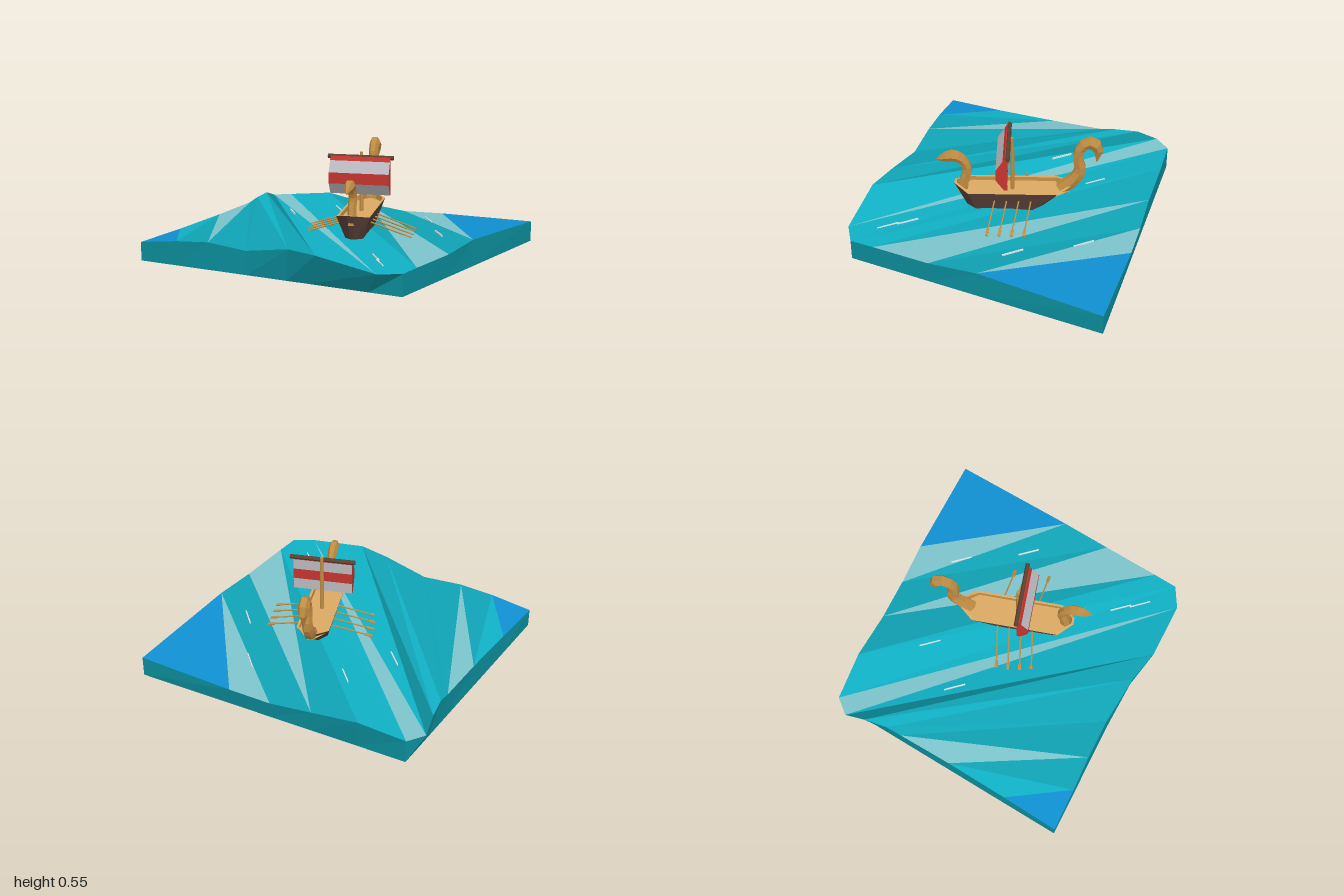
import * as THREE from 'three';

const COLORS = {
  blue: 0x0f8fd0, teal: 0x0fa3b5, bright: 0x10b0c5, deep: 0x0b8d9a, pale: 0x7cc3cb,
  hull: 0x5a4038, deck: 0xdba962, wood: 0xc08c42, dark: 0x5c4130,
  red: 0xc5352e, cloth: 0xb9b9bf, foam: 0xd9e4e4,
};
const mat = (c, side = THREE.FrontSide) =>
  new THREE.MeshStandardMaterial({ color: COLORS[c], flatShading: true, side });

function add(parent, name, geo, color, pos = [0, 0, 0]) {
  const m = new THREE.Mesh(geo, mat(color));
  m.name = name;
  m.position.set(...pos);
  parent.add(m);
  return m;
}

// Collects convex polygons per colour and turns them into flat meshes
class Facets {
  constructor() { this.sets = {}; }
  poly(color, ...p) {
    const out = (this.sets[color] ??= []);
    for (let i = 1; i < p.length - 1; i++) out.push(...p[0], ...p[i], ...p[i + 1]);
  }
  addTo(parent, name) {
    for (const [color, pts] of Object.entries(this.sets)) {
      const g = new THREE.BufferGeometry();
      g.setAttribute('position', new THREE.Float32BufferAttribute(pts, 3));
      g.computeVertexNormals();
      add(parent, `${name} ${color}`, g, color);
    }
  }
}

// Slab of sea: wave lines from the front rim to the back rim, coloured in facets
function buildSea(parent) {
  const L = [-1, 0.125, -0.16], R = [0.99, 0.125, 0.155];
  const ridge = [0.47, 0.165, 0.52];
  // front point, back point, colour of front facet, colour of back facet
  const lines = [
    [L, L],
    [[-0.86, 0.155, 0], [-0.76, 0.13, -0.33], 'blue', 'blue'],
    [[-0.74, 0.17, 0.13], [-0.5, 0.14, -0.52], 'teal', 'bright'],
    [[-0.6, 0.155, 0.29], [-0.28, 0.15, -0.69], 'teal', 'pale'],
    [[-0.46, 0.2, 0.49], [-0.22, 0.165, -0.74], 'teal', 'teal'],
    [[-0.38, 0.2, 0.64], [-0.14, 0.165, -0.83], 'teal', 'bright'],
    [[-0.18, 0.155, 0.87], [-0.07, 0.13, -0.91], 'bright', 'deep'],
    [[-0.07, 0.155, 0.91], [0.03, 0.125, -0.91], 'bright', 'pale'],
    [[0.03, 0.155, 0.84], [0.2, 0.155, -0.74], 'bright', 'bright'],
    [[0.27, 0.15, 0.67], [0.36, 0.12, -0.55], 'pale', 'teal'],
    [ridge, [0.51, 0.1, -0.39], 'teal', 'teal'],
    [ridge, [0.66, 0.11, -0.23], 'teal', 'pale'],
    [R, R, 'blue', 'blue'],
  ];
  const corner = { L: [-1, -0.16], F: [-0.07, 0.91], R: [0.99, 0.155], B: [0.03, -0.91] };
  // Foot of a rim point on the straight, slightly tilted base
  const foot = (p, mid) => {
    const [a, b] = p[0] < mid[0] ? [corner.L, mid] : [mid, corner.R];
    const z = a[1] + (b[1] - a[1]) * (p[0] - a[0]) / (b[0] - a[0]);
    return [p[0], 0.026 + 0.025 * z - 0.009 * p[0], z];
  };
  const f = new Facets();
  for (let i = 1; i < lines.length; i++) {
    const [f0, b0] = lines[i - 1], [f1, b1, cf, cb] = lines[i];
    if (f0 !== f1) f.poly(cf, f0, f1, b1);
    if (b0 !== b1) f.poly(cb, f0, b1, b0);
    if (f0 !== f1) f.poly('deep', foot(f0, corner.F), foot(f1, corner.F), f1, f0);
    f.poly('deep', foot(b1, corner.B), foot(b0, corner.B), b0, b1);
  }
  const base = (k, mid) => foot([corner[k][0], 0, 0], mid);
  f.poly('deep', base('L', corner.F), base('B', corner.B), base('R', corner.F), base('F', corner.F));
  f.addTo(parent, 'sea');

  // Thin foam streaks
  for (const [x, y, z] of [[-0.15, 0.163, -0.35], [0.12, 0.152, -0.38], [-0.36, 0.178, 0.28],
    [0.4, 0.145, 0.28], [-0.07, 0.152, 0.6], [-0.09, 0.152, 0.7], [0.5, 0.128, -0.06]]) {
    add(parent, 'foam streak', new THREE.BoxGeometry(0.006, 0.008, 0.11), 'foam', [x, y, z]).rotation.y = -0.12;
  }
}

// Tapered neck and head swept along a curve in the boat's middle plane
function neck(parent, name, stations) {
  const curve = new THREE.CatmullRomCurve3(stations.map(([y, z]) => new THREE.Vector3(0, y, z)));
  const segs = (stations.length - 1) * 2, sides = 6;
  const g = new THREE.TubeGeometry(curve, segs, 1, sides);
  const pos = g.attributes.position, v = new THREE.Vector3();
  for (let i = 0; i <= segs; i++) {
    const u = curve.getUtoTmapping(i / segs) * (stations.length - 1);
    const k = Math.min(Math.floor(u), stations.length - 2);
    const r = THREE.MathUtils.lerp(stations[k][2], stations[k + 1][2], u - k);
    const c = curve.getPointAt(i / segs);
    for (let j = 0; j <= sides; j++) {
      const n = i * (sides + 1) + j;
      v.fromBufferAttribute(pos, n).sub(c).multiplyScalar(r);
      pos.setXYZ(n, c.x + v.x * 0.85, c.y + v.y, c.z + v.z);
    }
  }
  add(parent, name, g, 'wood');
}

function buildHull(boat) {
  // Rings of eight points; each side entry is [half width, y, z], bow first
  const ring = (side) => [...side, ...side.map(([x, y, z]) => [-x, y, z]).reverse()];
  const keel = ring([[0.01, 0.155, 0.235], [0.045, 0.15, 0.19], [0.045, 0.135, -0.08], [0.01, 0.14, -0.13]]);
  const rim = ring([[0.018, 0.285, 0.295], [0.082, 0.265, 0.225], [0.082, 0.265, -0.215], [0.018, 0.285, -0.295]]);
  const lip = rim.map(([x, y, z]) => [x * 0.86, y, z * 0.96]);
  const deck = lip.map(([x, , z]) => [x * 0.97, 0.245, z * 0.98]);
  const f = new Facets();
  rim.forEach((_, i) => {
    const j = (i + 1) % rim.length;
    f.poly('hull', keel[i], keel[j], rim[j], rim[i]);
    f.poly('deck', rim[i], rim[j], lip[j], lip[i]);
    f.poly('wood', lip[i], lip[j], deck[j], deck[i]);
  });
  f.poly('deck', ...deck);
  f.poly('hull', ...keel.slice().reverse());
  f.addTo(boat, 'hull');
}

function buildSail(boat) {
  // Front profile [y, z] with a flat back; colour belongs to the band below
  const prof = [[0.525, 0.04, 'red'], [0.505, 0.05, 'cloth'], [0.45, 0.085, 'red'], [0.395, 0.085, 'cloth'], [0.338, 0.045]];
  const w = 0.15, back = 0.028;
  const f = new Facets();
  for (let i = 0; i < prof.length - 1; i++) {
    const [y0, z0, c] = prof[i], [y1, z1] = prof[i + 1];
    f.poly(c, [-w, y1, z1], [w, y1, z1], [w, y0, z0], [-w, y0, z0]);
    f.poly(c, [w, y1, back], [-w, y1, back], [-w, y0, back], [w, y0, back]);
    f.poly('red', [w, y1, z1], [w, y1, back], [w, y0, back], [w, y0, z0]);
    f.poly('red', [-w, y1, back], [-w, y1, z1], [-w, y0, z0], [-w, y0, back]);
  }
  f.poly('red', [-w, 0.525, 0.04], [w, 0.525, 0.04], [w, 0.525, back], [-w, 0.525, back]);
  f.poly('cloth', [-w, 0.338, back], [w, 0.338, back], [w, 0.338, 0.045], [-w, 0.338, 0.045]);
  f.addTo(boat, 'sail');
  add(boat, 'yard', new THREE.CylinderGeometry(0.011, 0.011, 0.33, 6), 'dark', [0, 0.522, 0.026]).rotation.z = Math.PI / 2;
  add(boat, 'mast', new THREE.CylinderGeometry(0.009, 0.011, 0.31, 6), 'wood', [0, 0.39, 0.008]);
}

// Four oars on each side, each a shaft with a flat blade
function buildOars(boat) {
  for (const s of [-1, 1]) for (let i = 0; i < 4; i++) {
    const oar = new THREE.Group();
    oar.name = 'oar';
    add(oar, 'oar shaft', new THREE.CylinderGeometry(0.004, 0.004, 0.2, 5), 'wood', [0, -0.1, 0]);
    add(oar, 'oar blade', new THREE.BoxGeometry(0.005, 0.04, 0.015), 'wood', [0, -0.2, 0]);
    const z = -0.085 + i * 0.06;
    const dir = new THREE.Vector3(s * 0.2, -0.058, 0.03).normalize();
    oar.quaternion.setFromUnitVectors(new THREE.Vector3(0, -1, 0), dir);
    oar.position.set(s * 0.062, 0.212, z);
    boat.add(oar);
  }
}

export function createModel() {
  const model = new THREE.Group();
  model.name = 'ship at sea';
  buildSea(model);

  const boat = new THREE.Group();
  boat.name = 'boat';
  boat.position.set(0.07, 0, 0.075);
  boat.rotation.y = -0.57;
  buildHull(boat);
  buildSail(boat);
  buildOars(boat);
  // [y, z, radius] from the hull up to the tip
  neck(boat, 'bow figurehead', [[0.23, 0.255, 0.028], [0.3, 0.245, 0.026], [0.36, 0.23, 0.024],
    [0.415, 0.255, 0.026], [0.435, 0.3, 0.032], [0.425, 0.345, 0.024], [0.41, 0.385, 0.001]]);
  neck(boat, 'stern figurehead', [[0.25, -0.23, 0.036], [0.3, -0.29, 0.036], [0.36, -0.325, 0.032],
    [0.43, -0.315, 0.028], [0.49, -0.325, 0.028], [0.525, -0.37, 0.032], [0.495, -0.408, 0.034], [0.41, -0.405, 0.001]]);
  model.add(boat);
  return model;
}
